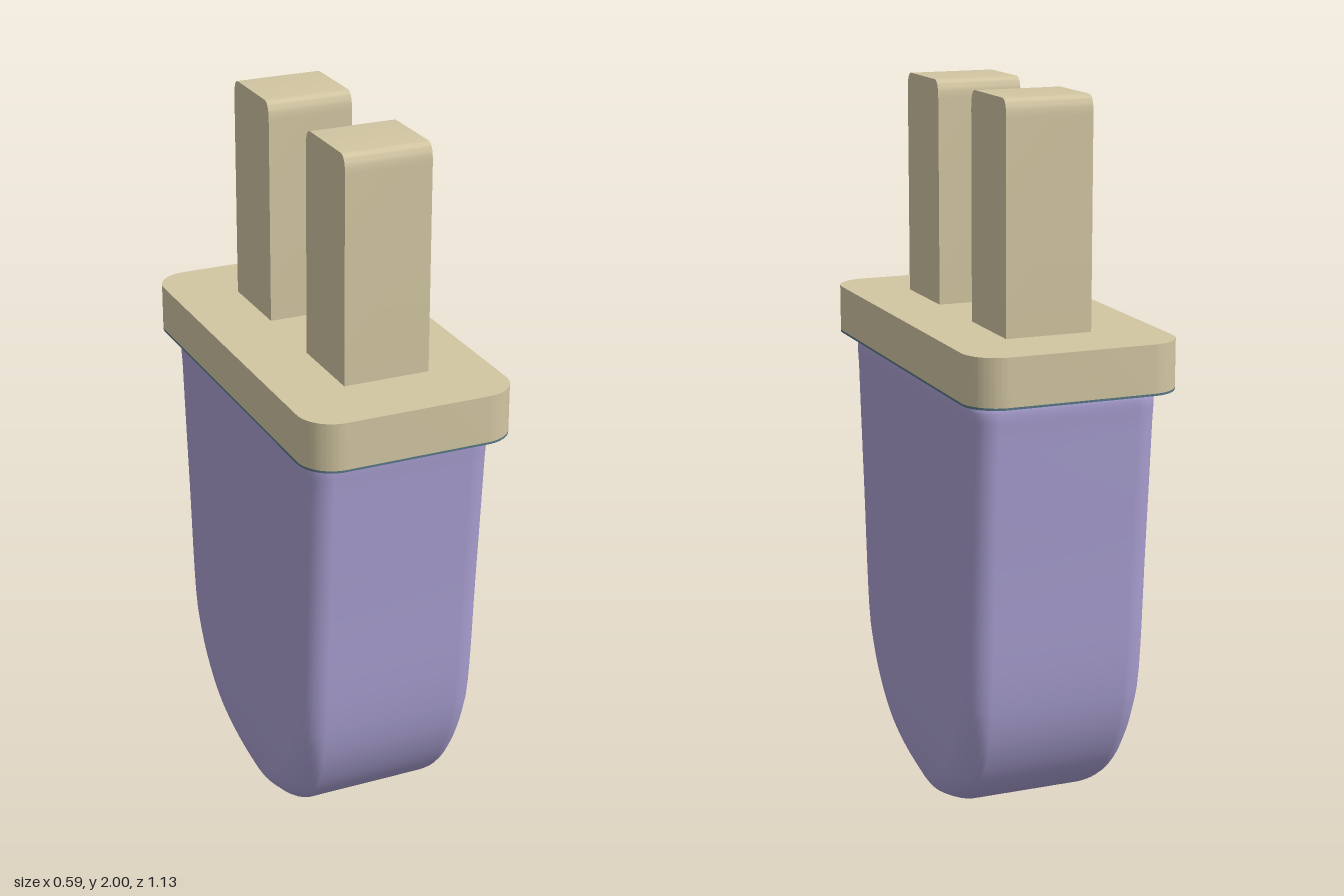
import * as THREE from 'three';
import { toCreasedNormals } from 'three/addons/utils/BufferGeometryUtils.js';

const material = (color) => new THREE.MeshStandardMaterial({ color });

function addMesh(parent, name, geometry, mat) {
  const mesh = new THREE.Mesh(geometry, mat);
  mesh.name = name;
  parent.add(mesh);
  return mesh;
}

// Flat slab with rounded vertical corners, between heights y0 and y1
function roundedSlab(a, b, r, y0, y1) {
  const s = new THREE.Shape();
  s.absarc(a - r, b - r, r, 0, Math.PI / 2);
  s.absarc(r - a, b - r, r, Math.PI / 2, Math.PI);
  s.absarc(r - a, r - b, r, Math.PI, Math.PI * 1.5);
  s.absarc(a - r, r - b, r, Math.PI * 1.5, Math.PI * 2);
  s.closePath();
  const g = new THREE.ExtrudeGeometry(s, { depth: y1 - y0, bevelEnabled: false, curveSegments: 12 });
  g.rotateX(-Math.PI / 2).translate(0, y0, 0);
  return toCreasedNormals(g, 0.6);
}

// Upright block whose front and back top edges are softened
function prongGeometry(width, half, y0, y1) {
  const s = new THREE.Shape();
  s.moveTo(-half, y0);
  s.lineTo(half, y0);
  s.lineTo(half, y1 - 0.05);
  s.quadraticCurveTo(half, y1, half - 0.028, y1);
  s.lineTo(0.028 - half, y1);
  s.quadraticCurveTo(-half, y1, -half, y1 - 0.05);
  s.closePath();
  const g = new THREE.ExtrudeGeometry(s, { depth: width, bevelEnabled: false, curveSegments: 8 });
  g.translate(0, 0, -width / 2).rotateY(Math.PI / 2);
  return toCreasedNormals(g, 0.6);
}

// Tapered body lofted through rounded-rectangle sections
function bodyGeometry() {
  // half width in x, height, half depth in z
  const stations = [
    [0.17, 0, 0.02], [0.205, 0.02, 0.11], [0.225, 0.06, 0.217], [0.243, 0.14, 0.32],
    [0.253, 0.25, 0.385], [0.257, 0.39, 0.424], [0.259, 0.8, 0.457], [0.26, 1.15, 0.483],
    [0.26, 1.222, 0.488], [0.256, 1.235, 0.484], [0.247, 1.24, 0.475], [0.22, 1.24, 0.45],
  ].map((p) => new THREE.Vector3(...p));
  const rings = new THREE.CatmullRomCurve3(stations, false, 'centripetal').getPoints(66);
  const steps = 8;
  const count = 4 * (steps + 1);
  const positions = [];
  const index = [];

  for (const { x: a, y, z: b } of rings) {
    const rx = 0.065;
    const rz = Math.min(0.92 * b, 0.065 + 0.12 * Math.max(0, 1 - y / 0.4));
    for (let q = 0; q < 4; q++) {
      const sx = q === 0 || q === 3 ? 1 : -1;
      const sz = q < 2 ? 1 : -1;
      for (let k = 0; k <= steps; k++) {
        const t = (q + k / steps) * Math.PI / 2;
        positions.push(sx * (a - rx) + rx * Math.cos(t), y, sz * (b - rz) + rz * Math.sin(t));
      }
    }
  }
  for (let i = 0; i < rings.length - 1; i++) {
    for (let j = 0; j < count; j++) {
      const n = (j + 1) % count;
      const p = i * count + j, pn = i * count + n;
      index.push(p, p + count, pn, pn, p + count, pn + count);
    }
  }
  // Close the bottom and the top
  const bottom = positions.length / 3;
  const last = (rings.length - 1) * count;
  positions.push(0, rings[0].y, 0, 0, rings[rings.length - 1].y, 0);
  for (let j = 0; j < count; j++) {
    const n = (j + 1) % count;
    index.push(bottom, j, n, bottom + 1, last + n, last + j);
  }
  const g = new THREE.BufferGeometry();
  g.setAttribute('position', new THREE.Float32BufferAttribute(positions, 3));
  g.setIndex(index);
  g.computeVertexNormals();
  return g;
}

export function createModel() {
  const model = new THREE.Group();
  model.name = 'pluggedContainer';
  const tan = material(0xd2c6a2);

  addMesh(model, 'body', bodyGeometry(), material(0xaaa0d2));

  // Cap plate with a thin seal under it
  addMesh(model, 'seal', roundedSlab(0.294, 0.566, 0.095, 1.25, 1.256), material(0x5a7886));
  addMesh(model, 'capPlate', roundedSlab(0.294, 0.566, 0.095, 1.256, 1.385), tan);

  // Pair of prongs on the plate
  const prong = prongGeometry(0.24, 0.12, 1.38, 2);
  for (const [name, z] of [['frontProng', 0.24], ['backProng', -0.243]]) {
    addMesh(model, name, prong, tan).position.set(0.007, 0, z);
  }
  return model;
}
